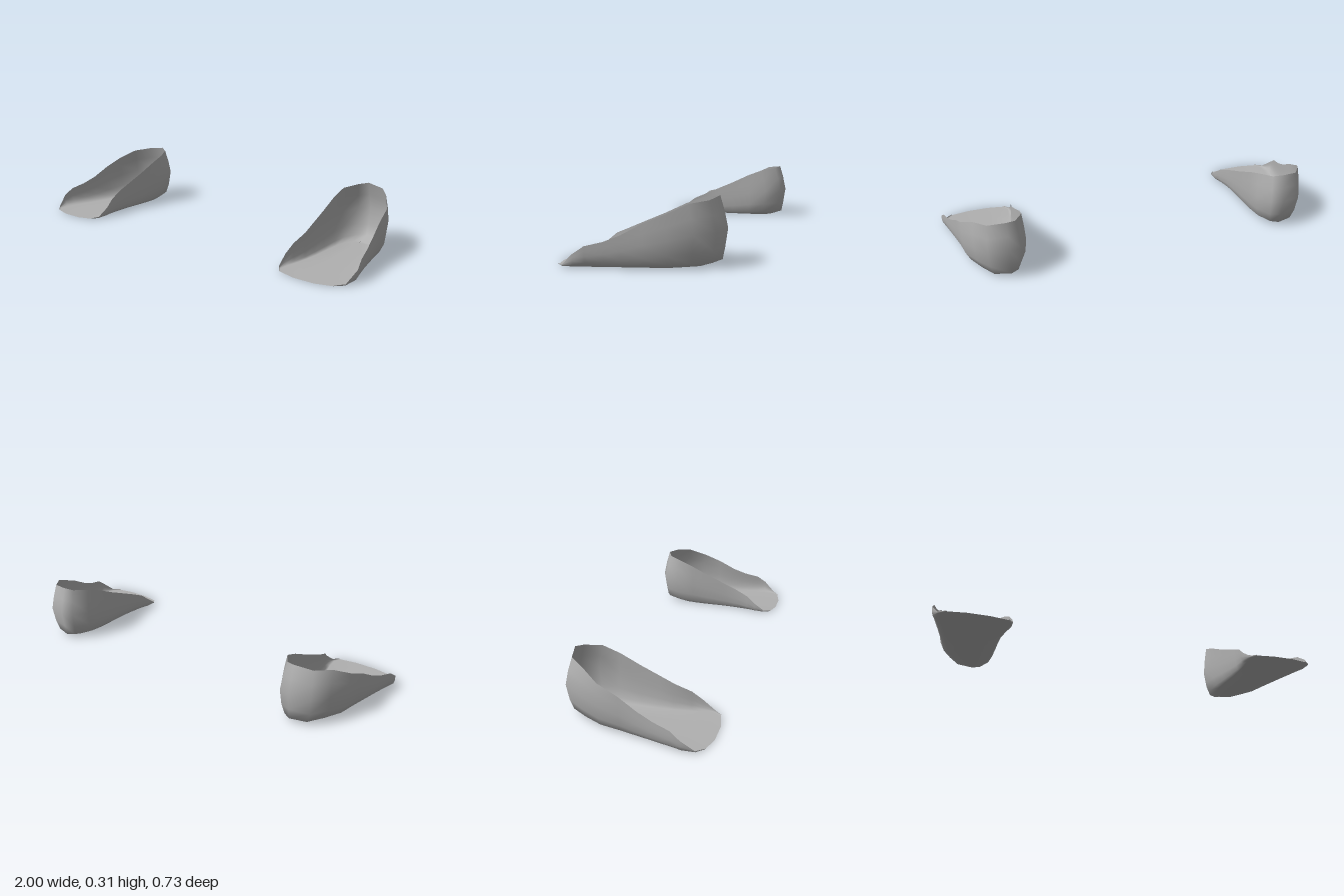
import * as THREE from 'three';
import { mergeVertices } from 'three/addons/utils/BufferGeometryUtils.js';

// Stations from toe to heel:
// [z, inner rim x, inner sole x, outer rim x, outer sole x, inner rim y, outer rim y, heel bulge]
const STATIONS = [
  [0.34, 0.65, 0.655, 0.94, 0.935, 0.007, 0.007, 0],
  [0.305, 0.626, 0.635, 0.978, 0.962, 0.012, 0.012, 0],
  [0.245, 0.62, 0.64, 1.0, 0.96, 0.055, 0.065, 0],
  [0.195, 0.63, 0.65, 0.99, 0.95, 0.095, 0.1, 0],
  [0.115, 0.643, 0.66, 0.973, 0.93, 0.13, 0.12, 0],
  [0.04, 0.641, 0.665, 0.958, 0.915, 0.163, 0.15, 0],
  [-0.05, 0.639, 0.665, 0.943, 0.895, 0.202, 0.2, 0],
  [-0.15, 0.637, 0.667, 0.928, 0.875, 0.25, 0.242, 0.2],
  [-0.235, 0.642, 0.675, 0.878, 0.84, 0.283, 0.283, 0.7],
  [-0.31, 0.685, 0.7, 0.82, 0.8, 0.295, 0.294, 0.95],
  [-0.333, 0.73, 0.73, 0.73, 0.73, 0.305, 0.305, 1],
];

// Wall levels from rim to sole: [height fraction, blend to sole x, heel z push, outward bulge]
const LEVELS = [
  [1, 0, 0, 0],
  [0.78, 0, -0.02, 0.008],
  [0.53, 0.02, -0.036, 0.014],
  [0.25, 0.15, -0.023, 0.01],
  [0.07, 0.5, -0.012, 0],
  [0, 1, 0.05, 0],
];
const SOLE_Y = 0.003;

// One U-shaped cross-section: inner wall down, across the sole, outer wall up
function section([z, xi, si, xo, so, yi, yo, bulge], row) {
  const wall = (rimX, soleX, rimY, dir) => LEVELS.map(([h, blend, push, out]) => {
    const swell = row === STATIONS.length - 1 ? 0 : out * bulge * dir;
    return [
      THREE.MathUtils.lerp(rimX, soleX, blend) + swell,
      SOLE_Y + (rimY - SOLE_Y) * h,
      z + push * bulge,
    ];
  });
  const inner = wall(xi, si, yi, -1);
  const outer = wall(xo, so, yo, 1).reverse();
  const toe = row === 0 ? 0.02 : 0; // rounded toe edge
  const soleZ = z + 0.05 * bulge;
  const sole = [0.3, 0.7].map((t) => [THREE.MathUtils.lerp(si, so, t), SOLE_Y - 0.003, soleZ + toe]);
  return [...inner, ...sole, ...outer];
}

function shellGeometry(side) {
  const rows = STATIONS.map(section);
  const cols = rows[0].length;
  const positions = rows.flat().flatMap(([x, y, z]) => [x * side, y, z]);
  const index = [];
  for (let r = 0; r < rows.length - 1; r++) {
    for (let c = 0; c < cols - 1; c++) {
      const a = r * cols + c, b = a + 1, d = a + cols, e = d + 1;
      if (side > 0) index.push(a, d, b, b, d, e);
      else index.push(a, b, d, b, e, d);
    }
  }
  const geometry = new THREE.BufferGeometry();
  geometry.setAttribute('position', new THREE.Float32BufferAttribute(positions, 3));
  geometry.setIndex(index);
  // Weld the heel seam so it shades smoothly
  const welded = mergeVertices(geometry, 1e-4);
  welded.computeVertexNormals();
  return welded;
}

export function createModel() {
  const group = new THREE.Group();
  const grey = new THREE.MeshStandardMaterial({ color: 0xb0b0b0, side: THREE.DoubleSide });
  grey.name = 'grey';
  // Mirrored pair of open foot shells
  for (const [name, side] of [['leftFootShell', 1], ['rightFootShell', -1]]) {
    const shell = new THREE.Mesh(shellGeometry(side), grey);
    shell.name = name;
    group.add(shell);
  }
  return group;
}
